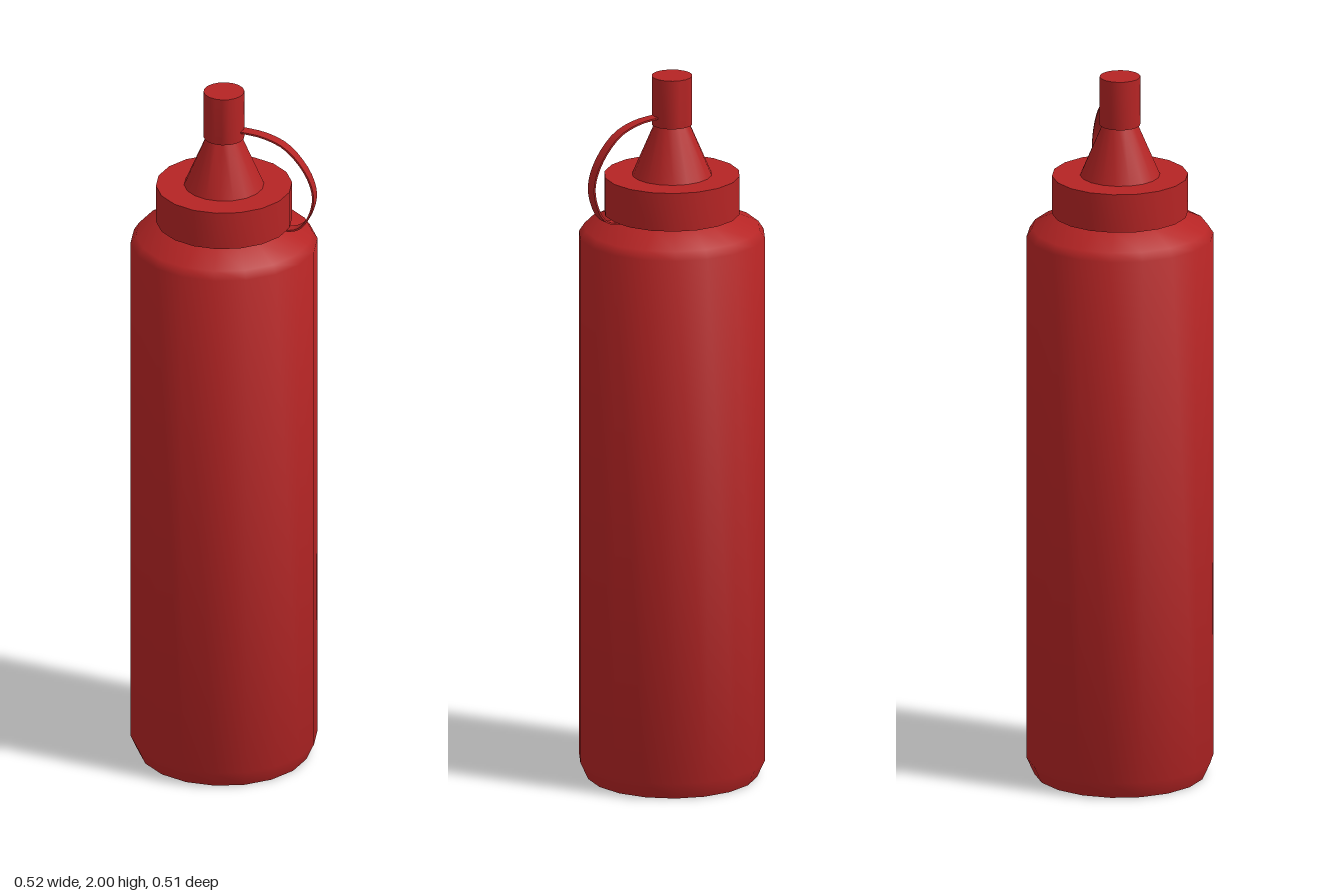
import * as THREE from 'three';
import { toCreasedNormals } from 'three/addons/utils/BufferGeometryUtils.js';

const SIDES = 18;
const AXIS_X = -0.003;

export function createModel() {
  const model = new THREE.Group();
  model.name = 'squeezeBottle';
  const red = new THREE.MeshStandardMaterial({ color: 0xb52424 });
  red.name = 'red plastic';

  const add = (name, geometry) => {
    const mesh = new THREE.Mesh(toCreasedNormals(geometry, 0.8), red);
    mesh.name = name;
    model.add(mesh);
    return mesh;
  };

  // Turned parts: [radius, height] pairs from bottom to top
  const turned = (name, profile) => {
    const points = profile.map(([r, y]) => new THREE.Vector2(r, y));
    add(name, new THREE.LatheGeometry(points, SIDES, Math.PI / 2)).position.x = AXIS_X;
  };

  // Bottle with bevelled foot, sloping shoulder and short neck
  turned('bottle', [
    [0, 0], [0.235, 0], [0.257, 0.048], [0.257, 1.545],
    [0.242, 1.568], [0.165, 1.603], [0.152, 1.612], [0.152, 1.64], [0, 1.64],
  ]);

  // Screw lid
  turned('lid', [[0, 1.609], [0.187, 1.609], [0.187, 1.718], [0, 1.718]]);

  // Conical nozzle
  turned('nozzle', [[0, 1.715], [0.111, 1.715], [0.046, 1.868], [0, 1.868]]);

  // Cap over the nozzle tip
  turned('tipCap', [[0, 1.862], [0.056, 1.862], [0.056, 2], [0, 2]]);

  // Flat strap tying the tip cap to the lid
  const path = new THREE.CatmullRomCurve3([
    [0.045, 1.889], [0.11, 1.882], [0.17, 1.859], [0.217, 1.813], [0.247, 1.76],
    [0.256, 1.715], [0.248, 1.67], [0.227, 1.629], [0.2, 1.611], [0.15, 1.607],
  ].map(([x, y]) => new THREE.Vector3(x, y, 0)));
  const half = 0.0025;
  const outer = [];
  const inner = [];
  for (let i = 0; i <= 24; i++) {
    const p = path.getPoint(i / 24);
    const t = path.getTangent(i / 24);
    outer.push(new THREE.Vector2(p.x - t.y * half, p.y + t.x * half));
    inner.unshift(new THREE.Vector2(p.x + t.y * half, p.y - t.x * half));
  }
  const strap = new THREE.ExtrudeGeometry(new THREE.Shape([...outer, ...inner]), {
    depth: 0.032, bevelEnabled: false,
  });
  add('strap', strap).position.z = -0.014;

  return model;
}
